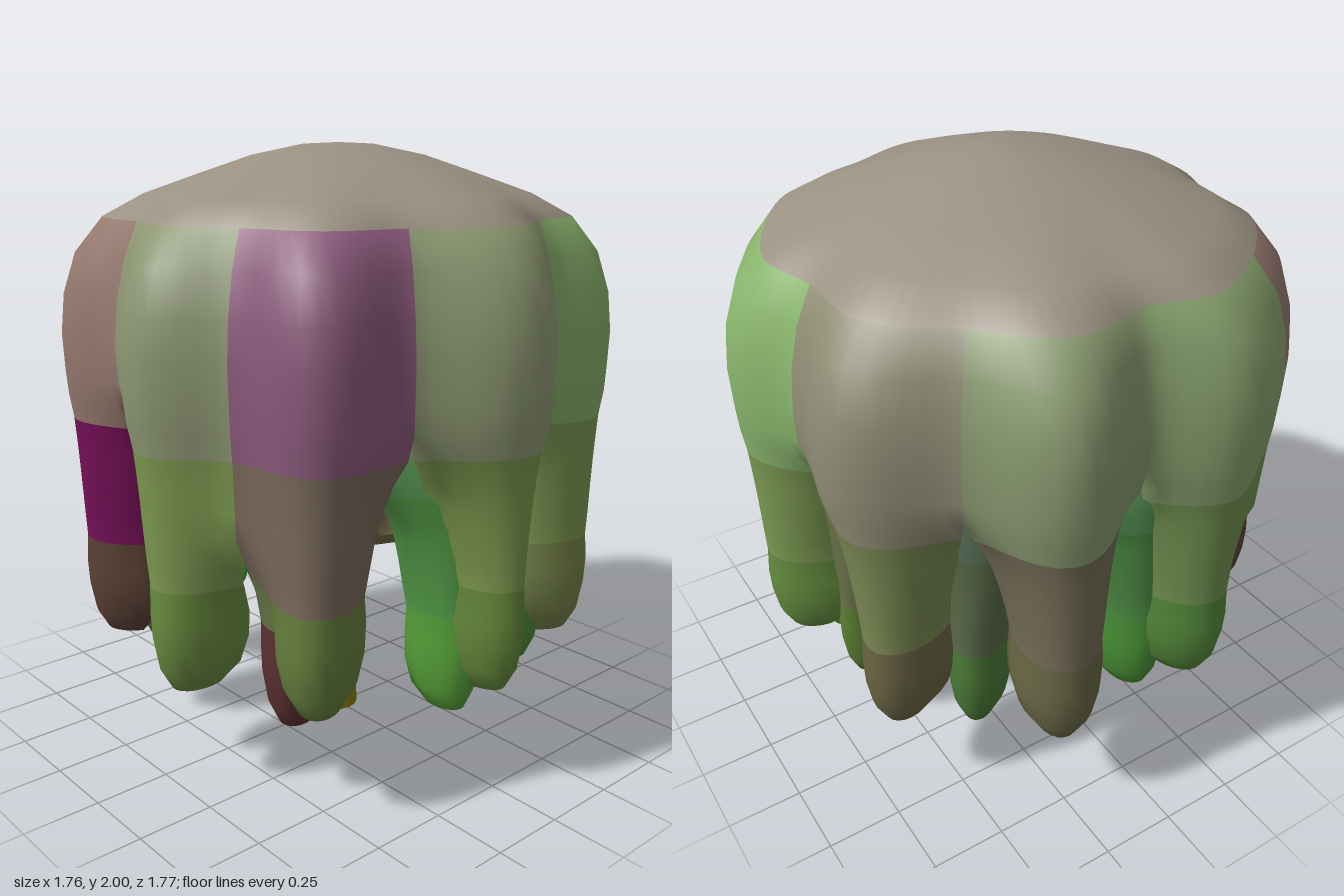
import * as THREE from 'three';

// Level by level: [height, share of the lobe's reach, width of the lobe tip]
const ROWS = [
  [2, 0, 1], [1.995, 0.13, 1], [1.96, 0.32, 1], [1.9, 0.52, 1], [1.84, 0.71, 1], [1.77, 0.85, 1],
  [1.66, 0.94, 1], [1.53, 0.985, 1], [1.4, 1, 1], [1.28, 0.995, 1], [1.2, 0.99, 1], [1.12, 0.98, 1],
  [1.04, 0.975, 1], [0.96, 0.97, 1], [0.88, 0.965, 1], [0.78, 0.96, 1], [0.7, 0.955, 0.98],
  [0.6, 0.955, 1.02], [0.52, 0.95, 1], [0.43, 0.94, 0.85], [0.36, 0.93, 0.5], [0.355, 0.93, 0]
];

const CROWN = 0x9a9182;

// Lobes in turn: tip angle, half width of the finger, reach,
// angle / height / radius of the cleft before it, colours of shoulder, finger and tip
const lobe = (tip, half, reach, edge, cleft, valley, colors) =>
  ({ tip, half, reach, edge, cleft, valley, colors });
const OUTER = [
  lobe(9, 0.135, 0.88, -11, 1.21, 0.785, [0x8c9672, 0x7c9850, 0x6a8c40]),
  lobe(44, 0.135, 0.9, 26, 0.8, 0.79, [0x8c5a7c, 0x7a6a5c, 0x66803e]),
  lobe(89, 0.115, 0.88, 65, 1.13, 0.77, [0x8f9a72, 0x7c984e, 0x668a3c]),
  lobe(132, 0.15, 0.9, 113, 1.2, 0.755, [0x88b06c, 0x7c9a52, 0x76844a]),
  lobe(167, 0.14, 0.91, 150, 0.79, 0.885, [0x88b46c, 0x7c9a52, 0x669040]),
  lobe(211, 0.135, 0.93, 187, 1.21, 0.81, [0x8f8c74, 0x7a8852, 0x6c6644]),
  lobe(250, 0.145, 0.935, 229, 1.16, 0.835, [0x8a9a70, 0x746c56, 0x6a6846]),
  lobe(290, 0.14, 0.92, 269, 1.21, 0.77, [0x88a26e, 0x729250, 0x548a3a]),
  lobe(326, 0.15, 0.91, 308, 0.82, 0.9, [0x94786e, 0x761058, 0x5c4236])
];
const INNER = [
  lobe(-4, 0.13, 0.92, -24, 1.21, 0.83, [0x923a72, 0x8a4a62, 0x628c3a]),
  lobe(36, 0.14, 0.92, 16, 0.95, 0.83, [0x6c8a58, 0x607044, 0x5c3030]),
  lobe(84, 0.13, 0.92, 60, 1.1, 0.8, [0x5a9a58, 0x529a46, 0x56a038]),
  lobe(127, 0.14, 0.92, 106, 1.15, 0.8, [0x5a9a58, 0x5a8a4a, 0x4c8a36]),
  lobe(162, 0.13, 0.92, 145, 0.95, 0.86, [0x607060, 0x588a4a, 0x5c9a38]),
  lobe(186, 0.12, 0.92, 174, 0.75, 0.88, [0x6a7058, 0x687048, 0x5c8034]),
  lobe(228, 0.13, 0.92, 207, 1.1, 0.83, [0x5a7058, 0x5a6a48, 0x4a7a36]),
  lobe(282, 0.14, 0.92, 256, 1.2, 0.8, [0x5a9a58, 0x4e9044, 0x4a9236]),
  lobe(318, 0.14, 0.92, 300, 0.9, 0.86, [0x5a4050, 0x5a3448, 0x4c5c36])
];
const M = 13; // points across one skin of a lobe
const BANDS = [['crown', 2], ['shoulder', 1.77], ['finger', 1.12], ['tip', 0.7]];

const { lerp, smoothstep, clamp, degToRad } = THREE.MathUtils;
const polar = (deg, r) =>
  new THREE.Vector2(r * Math.sin(degToRad(deg)), r * Math.cos(degToRad(deg)));

// How far a cleft has opened at height y
const opening = (cleft, y) => Math.pow(clamp((cleft - y) / (0.65 * (cleft - 0.5)), 0, 1), 0.6);

// Point k of the closed loop around a lobe: outer skin first, then back along the inner skin
function lobePoint(lobes, i, row, k) {
  const [y, share, width] = ROWS[row];
  const a = lobes[i], b = lobes[(i + 1) % lobes.length];
  const inside = k >= M;
  const u = -1 + 2 * (inside ? 2 * M - 1 - k : k) / (M - 1);
  const f = (u + 1) / 2;

  // wedge of the canopy; the lobes fade out towards the crown
  const endEdge = b.edge < a.edge ? b.edge + 360 : b.edge;
  const lobed = lerp(a.reach, (u < 0 ? a : b).valley, (1 - Math.cos(Math.PI * u)) / 2);
  const r = share * lerp(0.88, lobed, smoothstep(2 - y, 0, 0.4));
  const p = polar(lerp(a.edge, endEdge, f), inside ? r * 0.93 : r);

  // hanging finger: a deep trough open to the back, with a rounded tip
  const phi = u * degToRad(100);
  const depth = (inside ? 0.16 : 0.21) * width * Math.cos(phi);
  const side = (inside ? a.half - 0.04 : a.half) * width * Math.sin(phi);
  const centre = a.reach - 0.25 + 0.1 * (1 - Math.min(width, 1));
  const finger = polar(a.tip, centre + depth).add(polar(a.tip + 90, side));

  p.lerp(finger, lerp(opening(a.cleft, y), opening(b.cleft, y), f));
  // the inner skin ends higher at the tip and sits lower under the crown
  const lift = inside ? 0.04 * (1 - smoothstep(y, 0.36, 0.6)) - 0.06 * smoothstep(y, 1.2, 1.8) : 0;
  return [p.x, y + lift, p.y];
}

// A drooping layer; all its parts share one smooth set of vertices
function makeLayer(name, lobes) {
  const N = lobes.length, L = 2 * M, positions = [];
  for (let i = 0; i < N; i++)
    for (let row = 0; row < ROWS.length; row++)
      for (let k = 0; k < L; k++) positions.push(...lobePoint(lobes, i, row, k));

  const closed = (i, row) => ROWS[row][0] >= lobes[i % N].cleft;
  const vertex = (i, row, k) => {
    // neighbouring lobes share their edge above the cleft
    if ((k === M - 1 || k === M) && closed(i + 1, row)) {
      i = (i + 1) % N;
      k = k === M ? L - 1 : 0;
    }
    return (i * ROWS.length + row) * L + k;
  };

  const parts = new Map(), all = [];
  for (let i = 0; i < N; i++) {
    for (let row = 0; row < ROWS.length - 1; row++) {
      const band = BANDS.findLastIndex(([, top]) => ROWS[row][0] <= top);
      const key = band === 0 ? 'crown' : `${BANDS[band][0]}${i + 1}`;
      if (!parts.has(key)) parts.set(key, { color: band ? lobes[i].colors[band - 1] : CROWN, index: [] });
      for (let k = 0; k < L; k++) {
        // no wall between lobes that are still joined
        if (k === M - 1 && closed(i + 1, row + 1)) continue;
        if (k === L - 1 && closed(i, row + 1)) continue;
        const n = (k + 1) % L;
        const a = vertex(i, row, k), b = vertex(i, row + 1, k);
        const c = vertex(i, row + 1, n), d = vertex(i, row, n);
        parts.get(key).index.push(a, b, c, a, c, d);
        all.push(a, b, c, a, c, d);
      }
    }
  }
  const whole = new THREE.BufferGeometry();
  whole.setAttribute('position', new THREE.Float32BufferAttribute(positions, 3));
  whole.setIndex(all);
  whole.computeVertexNormals();

  const layer = new THREE.Group();
  layer.name = name;
  for (const [key, { color, index }] of parts) {
    const geometry = new THREE.BufferGeometry();
    geometry.setAttribute('position', whole.getAttribute('position'));
    geometry.setAttribute('normal', whole.getAttribute('normal'));
    geometry.setIndex(index);
    const mesh = new THREE.Mesh(geometry, new THREE.MeshStandardMaterial({ color }));
    mesh.name = key;
    layer.add(mesh);
  }
  return layer;
}

export function createModel() {
  const model = new THREE.Group();
  model.name = 'droopingCanopy';

  model.add(makeLayer('outerCanopy', OUTER));

  // smaller layer hanging lower inside
  const inner = makeLayer('innerCanopy', INNER);
  inner.scale.set(0.81, 0.95, 0.81);
  inner.position.y = -0.08;
  model.add(inner);

  // hollow stem with a flared foot
  const profile = [[0.08, 0], [0.078, 0.07], [0.052, 0.24], [0.036, 0.42], [0.03, 0.8], [0.03, 1.3], [0.05, 1.75]];
  const stem = new THREE.Mesh(
    new THREE.LatheGeometry(profile.map(([r, y]) => new THREE.Vector2(r, y)), 16),
    new THREE.MeshStandardMaterial({ color: 0x857a08, side: THREE.DoubleSide })
  );
  stem.name = 'stem';
  stem.position.set(-0.025, 0, -0.005);
  model.add(stem);
  return model;
}
